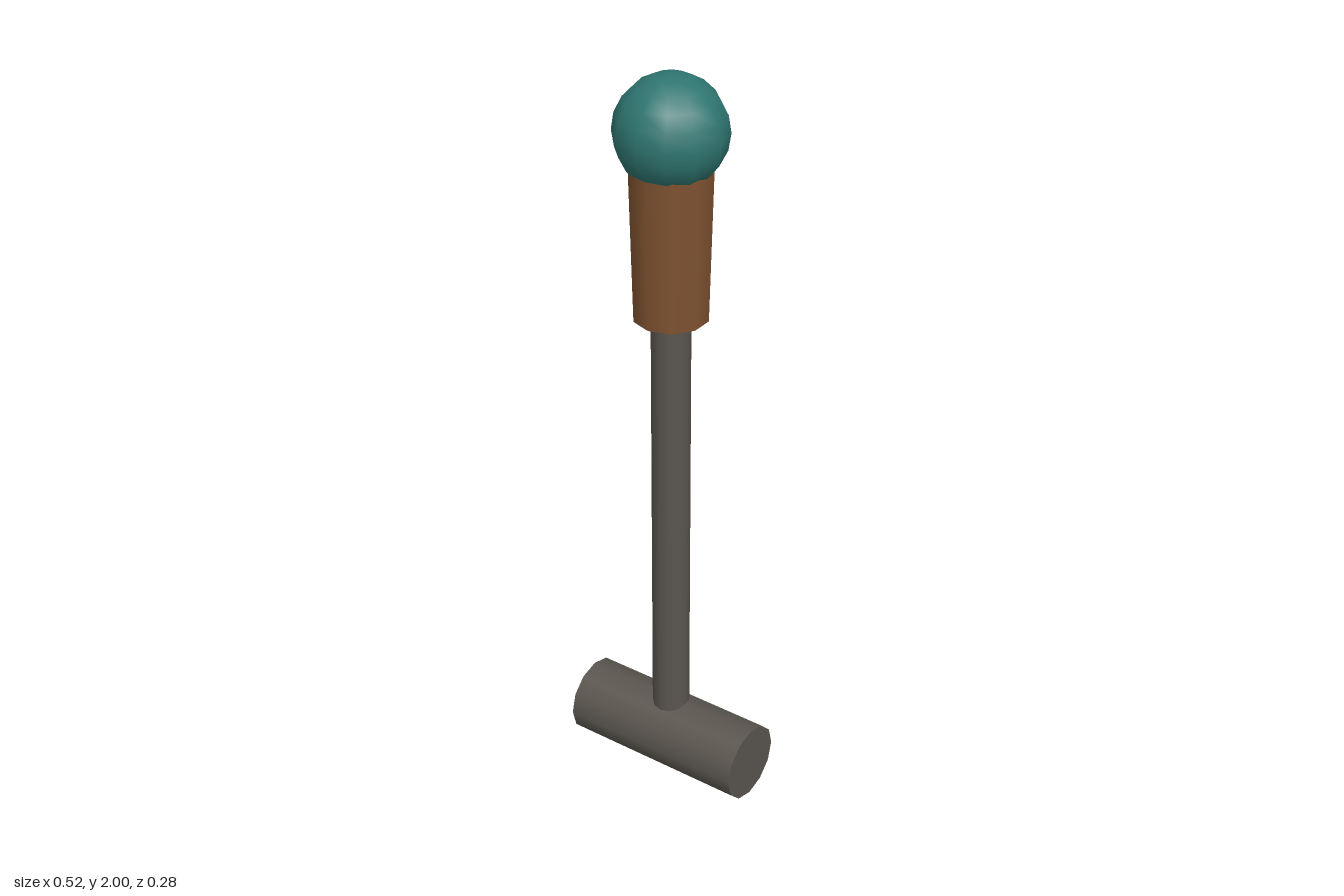
import * as THREE from 'three';

export function createModel() {
  const group = new THREE.Group();
  const material = (name, color) => {
    const m = new THREE.MeshStandardMaterial({ color });
    m.name = name;
    return m;
  };
  const steel = material('dark steel', 0x5a554e);
  const wood = material('brown wood', 0x7f5230);
  const teal = material('teal', 0x2f7671);

  const add = (name, geometry, mat, y) => {
    const mesh = new THREE.Mesh(geometry, mat);
    mesh.name = name;
    mesh.position.y = y;
    group.add(mesh);
    return mesh;
  };

  // Horizontal crossbar at the foot
  add('crossbar', new THREE.CylinderGeometry(0.105, 0.105, 0.522, 12), steel, 0.105).rotation.z = Math.PI / 2;

  // Upright shaft, from inside the crossbar to inside the grip
  add('shaft', new THREE.CylinderGeometry(0.05, 0.05, 1.32, 12), steel, 0.77);

  // Tapered grip, wider at the top
  add('grip', new THREE.CylinderGeometry(0.107, 0.096, 0.44, 10), wood, 1.6);

  // Round knob
  add('knob', new THREE.SphereGeometry(0.14, 12, 10), teal, 1.86);

  return group;
}
